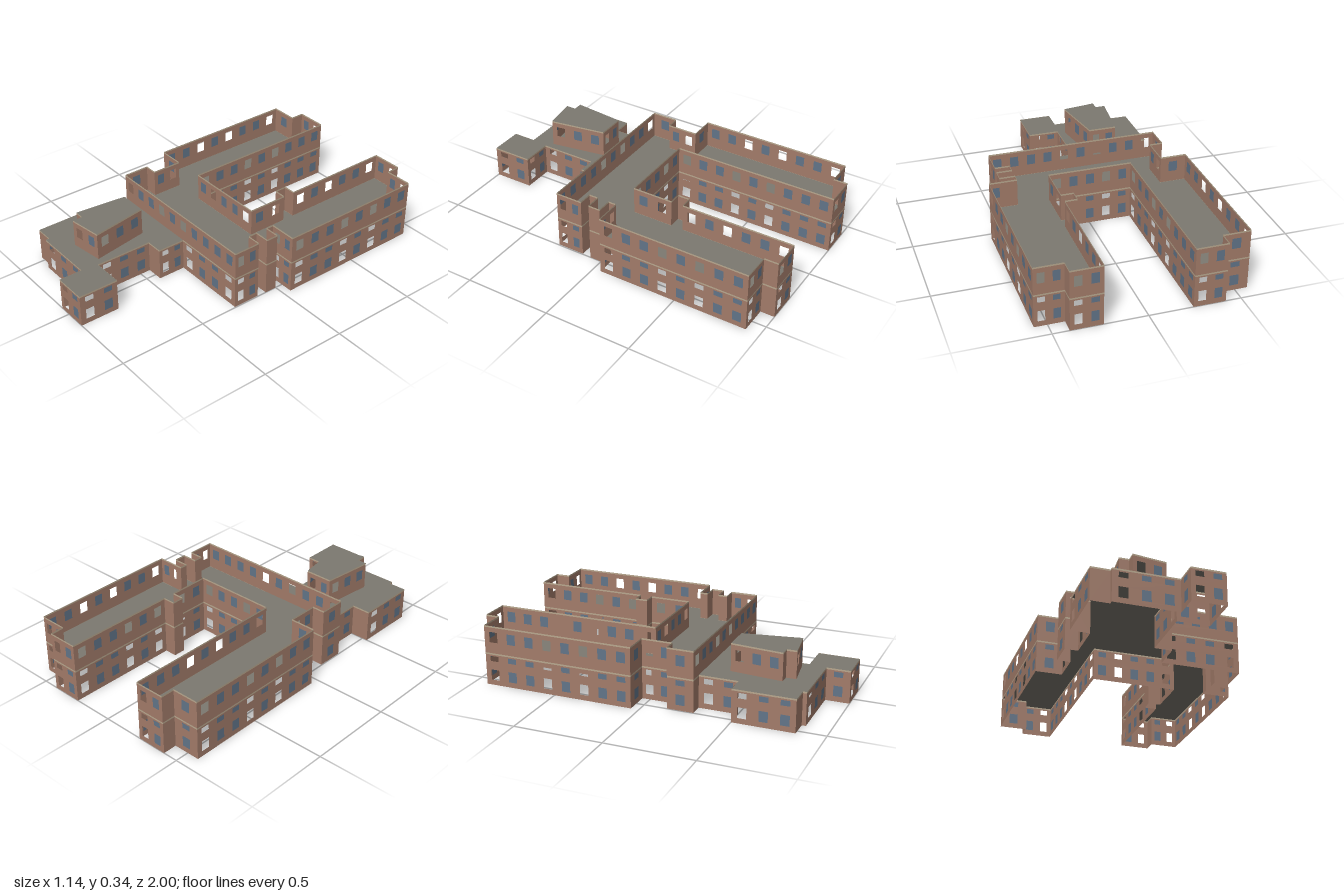
import * as THREE from 'three';
import { mergeGeometries } from 'three/addons/utils/BufferGeometryUtils.js';

const paint = (name, color) => {
  const m = new THREE.MeshStandardMaterial({ color, side: THREE.DoubleSide });
  m.name = name;
  return m;
};
const brick = paint('brick', 0xa37c6a);
const stone = paint('stone trim', 0xb9a88f);
const glass = paint('window glass', 0x627589);
const roofing = paint('grey roofing', 0x7c7970);

const FLOOR = 0.187, TOP = 0.345, BAND = 0.009;

// Outline of the two storey wings, from the front right corner round to the front left [x, z]
const wings = [
  [0.495, 0.28], [0.495, 0.123], [0.413, 0.123], [0.413, 0.07], [0.5, 0.07], [0.5, 0],
  [0.413, 0], [0.413, -0.045], [0.57, -0.045], [0.57, -0.92], [0.41, -0.92], [0.41, -1],
  [0.235, -1], [0.235, -0.35], [0.165, -0.35], [0.165, -0.28], [0.235, -0.28],
  [0.235, -0.045], [-0.24, -0.045], [-0.24, -1], [-0.415, -1], [-0.415, -0.92],
  [-0.57, -0.92], [-0.57, -0.045], [-0.423, -0.045], [-0.423, 0.13], [-0.497, 0.13], [-0.497, 0.28],
];
// Outline of the single storey front part, continuing from the front left
const annex = [
  [-0.423, 0.28], [-0.423, 0.5], [-0.53, 0.5], [-0.53, 0.845], [-0.425, 0.845], [-0.425, 0.867],
  [-0.067, 0.867], [-0.067, 1], [0.122, 1], [0.122, 0.77], [-0.055, 0.77], [-0.055, 0.44],
  [0.043, 0.44], [0.043, 0.28],
];
const rooftopRoom = [
  [-0.31, 0.415], [-0.34, 0.71], [-0.285, 0.71], [-0.285, 0.767], [-0.095, 0.74], [-0.15, 0.415],
];

// Rectangle as a list of corners
const rect = (u, v, w, h) => [[u, v], [u + w, v], [u + w, v + h], [u, v + h]].map(p => new THREE.Vector2(...p));

// Walls of one storey: brick with window openings, glass panes and a stone band on top
function storey(name, outline, y0, y1, rows) {
  const parts = { walls: [], band: [], windows: [] };
  outline.forEach((a, i) => {
    const b = outline[(i + 1) % outline.length];
    const dx = b[0] - a[0], dz = b[1] - a[1], len = Math.hypot(dx, dz);
    const place = g => g.rotateY(Math.atan2(-dz, dx)).translate(a[0], 0, a[1]);
    const wall = new THREE.Shape(rect(0, y0, len, y1 - BAND - y0));
    const count = len < 0.13 ? 0 : Math.round(len / 0.104);
    const step = len / count, width = Math.min(0.05, step * 0.48);
    for (let k = 0; k < count; k++) {
      for (const [low, high] of rows) {
        const corners = rect((k + 0.5) * step - width / 2, low, width, high - low);
        wall.holes.push(new THREE.Path(corners));
        // A few windows in each wall stand open
        if (![0, 3, 5].includes(k) || count === 1) {
          parts.windows.push(place(new THREE.ShapeGeometry(new THREE.Shape(corners))));
        }
      }
    }
    parts.walls.push(place(new THREE.ShapeGeometry(wall)));
    parts.band.push(place(new THREE.ShapeGeometry(new THREE.Shape(rect(0, y1 - BAND, len, BAND)))));
  });
  const group = new THREE.Group();
  group.name = name;
  const materials = { walls: brick, band: stone, windows: glass };
  for (const key in parts) {
    const mesh = new THREE.Mesh(mergeGeometries(parts[key]), materials[key]);
    mesh.name = key;
    group.add(mesh);
  }
  return group;
}

// Flat slab filling an outline
function slab(name, outline, y) {
  const shape = new THREE.Shape(outline.map(([x, z]) => new THREE.Vector2(x, -z)));
  const mesh = new THREE.Mesh(new THREE.ShapeGeometry(shape).rotateX(-Math.PI / 2), roofing);
  mesh.name = name;
  mesh.position.y = y;
  return mesh;
}

export function createModel() {
  const model = new THREE.Group();
  model.name = 'building';
  const ground = [...wings, ...annex];
  const groundRows = [[0.03, 0.09], [0.14, 0.17]], upperRows = [[0.25, 0.31]];
  model.add(
    storey('groundStorey', ground, 0, FLOOR, groundRows),
    slab('lowerRoof', ground, FLOOR - 0.001),
    storey('upperStorey', wings, FLOOR, TOP, upperRows),
    storey('rooftopRoom', rooftopRoom, FLOOR, TOP, upperRows),
    slab('rooftopRoomRoof', rooftopRoom, TOP),
  );
  return model;
}
